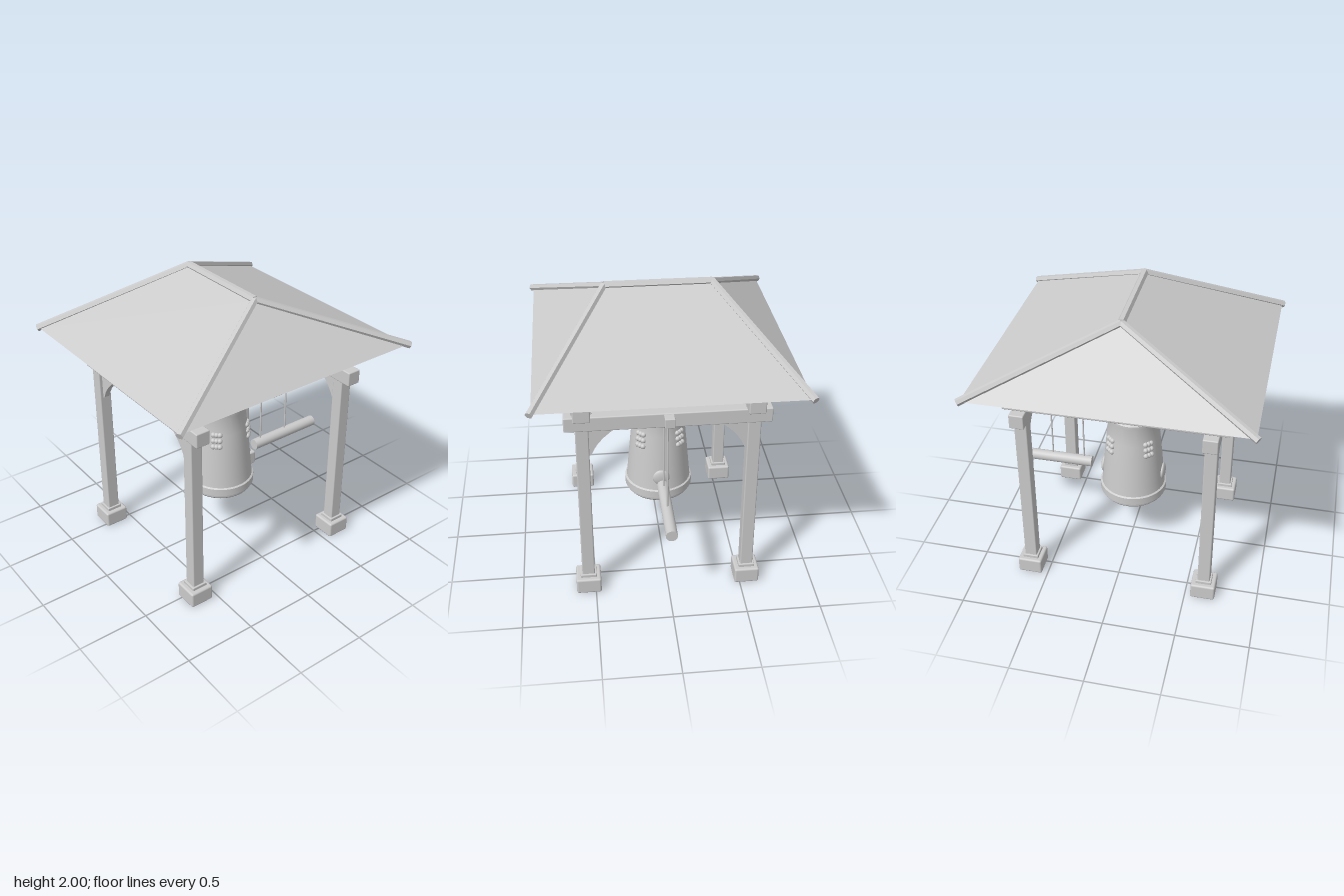
import * as THREE from 'three';
import { RoundedBoxGeometry } from 'three/addons/geometries/RoundedBoxGeometry.js';
import { toCreasedNormals } from 'three/addons/utils/BufferGeometryUtils.js';

const material = new THREE.MeshStandardMaterial({ color: 0xcccccc });
const flat = new THREE.MeshStandardMaterial({ color: 0xcccccc, flatShading: true });
const twoSided = new THREE.MeshStandardMaterial({ color: 0xcccccc, side: THREE.DoubleSide });
const V = (x, y, z) => new THREE.Vector3(x, y, z);

export function createModel() {
  const model = new THREE.Group();
  model.name = 'bellPavilion';

  const add = (name, geometry, x = 0, y = 0, z = 0, mat = material) => {
    const mesh = new THREE.Mesh(geometry, mat);
    mesh.name = name;
    mesh.position.set(x, y, z);
    model.add(mesh);
    return mesh;
  };
  // Box with softened edges, given by its centre in x and z and its y range
  const timber = (name, w, d, y0, y1, x, z, r = 0.008) =>
    add(name, new RoundedBoxGeometry(w, y1 - y0, d, 2, r), x, (y0 + y1) / 2, z);
  // Round or faceted bar between two points
  const bar = (name, a, b, r, sides = 16, mat = material) => {
    const mesh = add(name, new THREE.CylinderGeometry(r, r, a.distanceTo(b), sides), 0, 0, 0, mat);
    mesh.position.copy(a).lerp(b, 0.5);
    mesh.quaternion.setFromUnitVectors(V(0, 1, 0), b.clone().sub(a).normalize());
    return mesh;
  };

  // Curved bracket outline, in the corner between a post and a tie beam
  const bracket = new THREE.Shape();
  bracket.moveTo(0.51, 1.295);
  bracket.lineTo(0.32, 1.295);
  bracket.quadraticCurveTo(0.45, 1.21, 0.49, 1.1);
  bracket.lineTo(0.51, 1.09);
  const bracketGeometry = new THREE.ExtrudeGeometry(bracket, { depth: 0.04, bevelEnabled: false, curveSegments: 5 });
  bracketGeometry.translate(0, 0, -0.02);

  // Four posts with stone feet, brackets and wedges
  const px = 0.547, pz = 0.625;
  for (const sx of [-1, 1]) {
    for (const sz of [-1, 1]) {
      timber('footStone', 0.17, 0.17, 0, 0.115, sx * px, sz * pz, 0.014);
      timber('footCollar', 0.11, 0.11, 0.105, 0.137, sx * px, sz * pz, 0.005);
      timber('post', 0.086, 0.086, 0.13, 1.3, sx * px, sz * pz);
      timber('wedge', 0.13, 0.11, 1.418, 1.444, sx * px, sz * pz, 0.003);
      const brace = add('bracket', bracketGeometry, 0, 0, sz * pz);
      if (sx < 0) brace.rotation.y = Math.PI;
    }
    timber('sideBeam', 0.11, 1.475, 1.39, 1.502, sx * px, 0);
    timber('tieBeam', 1.32, 0.1, 1.29, 1.392, 0, sx * pz);
  }
  timber('crossBeam', 1.2, 0.115, 1.388, 1.505, 0, 0);
  timber('hangerBlock', 0.13, 0.13, 1.2, 1.39, 0, 0);
  timber('strikerBeam', 0.065, 0.66, 1.32, 1.386, 0, -0.407, 0.005);

  // Hipped roof with a closed underside
  const ex = 0.84, ez = 0.915, ey = 1.58, rx = 0.355, ry = 1.975;
  const A = [-ex, ey, ez], B = [ex, ey, ez], C = [ex, ey, -ez], D = [-ex, ey, -ez];
  const L = [-rx, ry, 0], R = [rx, ry, 0];
  const roof = new THREE.BufferGeometry();
  roof.setAttribute('position', new THREE.Float32BufferAttribute([
    A, B, R, A, R, L, C, D, L, C, L, R, B, C, R, D, A, L, A, D, C, A, C, B].flat(), 3));
  roof.computeVertexNormals();
  add('roof', roof, 0, 0, 0, flat);
  bar('ridgeBar', V(-rx, ry, 0), V(rx, ry, 0), 0.027, 6, flat);
  for (const sx of [-1, 1]) for (const sz of [-1, 1])
    bar('hipBar', V(sx * rx, ry, 0), V(sx * 0.85, 1.58, sz * 0.925), 0.025, 6, flat);

  // Hollow bell: outside from the lip upward, then back down the inside
  const profile = [[0.188, 0.4], [0.2, 0.39], [0.218, 0.39], [0.23, 0.405], [0.232, 0.42], [0.24, 0.425],
    [0.24, 0.478], [0.228, 0.485], [0.221, 0.56], [0.209, 0.7], [0.19, 0.9], [0.175, 1.035],
    [0.176, 1.04], [0.176, 1.062], [0.165, 1.07], [0.13, 1.085], [0.07, 1.092], [0, 1.094]];
  const inside = [[0, 1.05], [0.14, 1.03], [0.165, 0.85], [0.185, 0.6], [0.188, 0.4]];
  const lathe = (pts) => toCreasedNormals(
    new THREE.LatheGeometry(pts.map(p => new THREE.Vector2(...p)), 48), 0.5);
  add('bellShell', lathe(profile), 0, 0, 0, twoSided);
  add('bellInside', lathe(inside), 0, 0, 0, twoSided);

  // Striking discs, front and back
  for (const s of [-1, 1]) {
    const disc = add('strikingDisc', new THREE.SphereGeometry(0.06, 24, 12), 0, 0.587, s * 0.217);
    disc.scale.z = 0.33;
  }
  // Four groups of nine bosses on the diagonals
  const boss = new THREE.SphereGeometry(0.019, 12, 8);
  for (let g = 0; g < 4; g++) for (let i = -1; i <= 1; i++) for (let j = -1; j <= 1; j++) {
    const a = Math.PI / 4 + g * Math.PI / 2 + i * 0.12, y = 0.863 + j * 0.046;
    const r = 0.19 - (y - 0.9) * 0.1;
    add('boss', boss, r * Math.cos(a), y, r * Math.sin(a));
  }

  // Arched loop, pin and side pipe on the crown
  const arch = [V(-0.068, 1.09, 0), V(-0.035, 1.175, 0), V(0.03, 1.175, 0), V(0.066, 1.1, 0)];
  for (let i = 0; i < 3; i++) bar('crownLoop', arch[i], arch[i + 1], 0.018, 8);
  bar('hangerRod', V(0, 1.085, 0), V(0, 1.21, 0), 0.01, 10);
  bar('hangerPin', V(0, 1.175, -0.055), V(0, 1.175, 0.055), 0.011, 10);
  bar('crownPipe', V(-0.093, 1.08, 0), V(-0.093, 1.2, 0), 0.02);
  bar('crownPipeRim', V(-0.093, 1.2, 0), V(-0.093, 1.215, 0), 0.025);

  // Striker log hung on two ropes
  bar('strikerLog', V(0, 0.585, -0.31), V(0, 0.585, -0.877), 0.04, 24);
  for (const z of [-0.37, -0.605]) bar('rope', V(0, 0.6, z), V(0, 1.325, z), 0.006, 8);

  return model;
}
